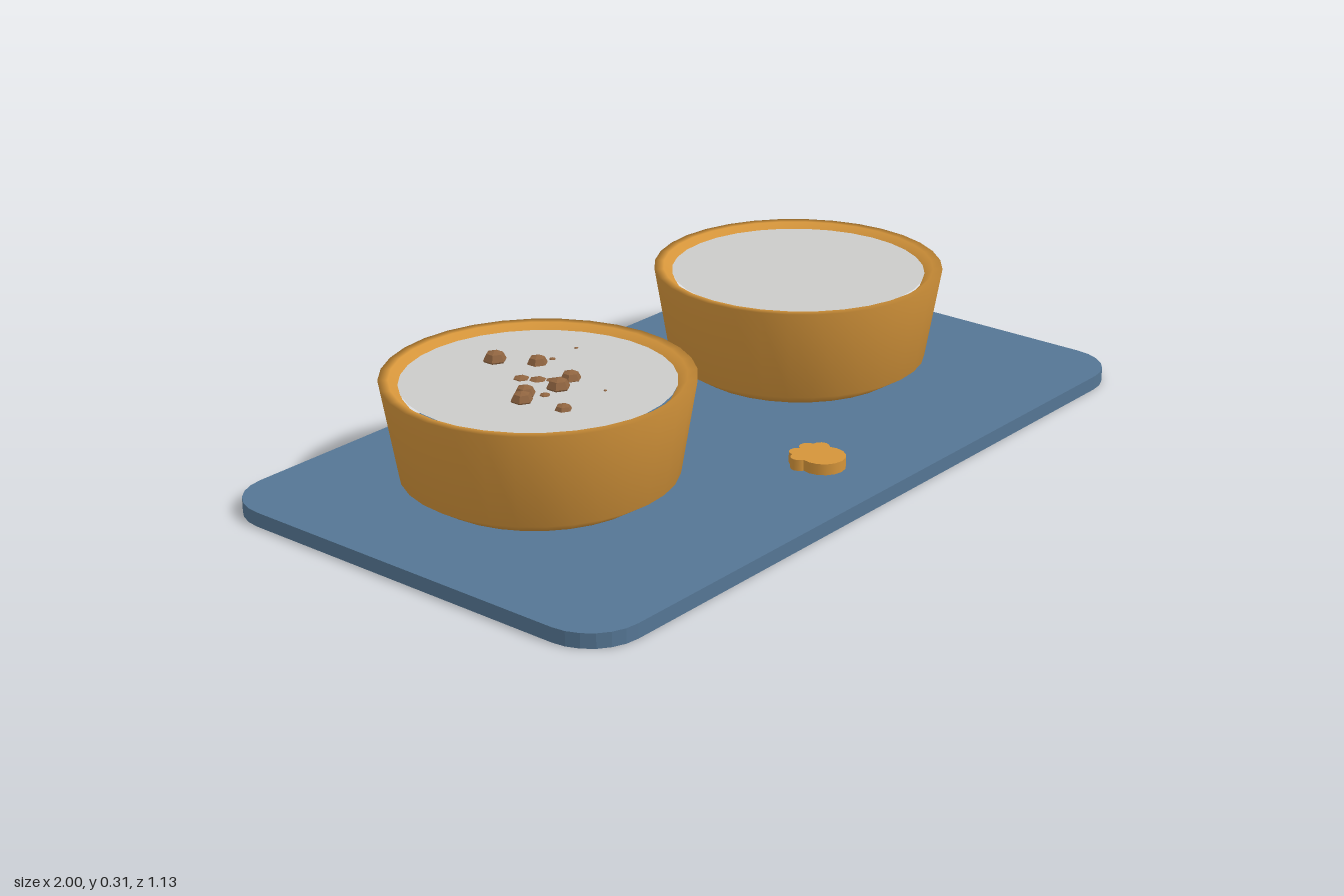
import * as THREE from 'three';

const material = (name, color) => {
  const m = new THREE.MeshStandardMaterial({ color });
  m.name = name;
  return m;
};

export function createModel() {
  const group = new THREE.Group();
  const blue = material('mat blue', 0x557694);
  const orange = material('bowl orange', 0xd4943a);
  const grey = material('liner grey', 0xcbcbc9);
  const brown = material('kibble brown', 0x8f6440);
  brown.flatShading = true;

  const add = (name, geometry, mat, x, y, z, parent = group) => {
    const mesh = new THREE.Mesh(geometry, mat);
    mesh.name = name;
    mesh.position.set(x, y, z);
    parent.add(mesh);
    return mesh;
  };

  // Mat: rounded rectangle, three facets per corner
  const w = 1, d = 0.565, r = 0.125, matTop = 0.035;
  const outline = new THREE.Shape();
  outline.absarc(w - r, d - r, r, 0, Math.PI / 2);
  outline.absarc(r - w, d - r, r, Math.PI / 2, Math.PI);
  outline.absarc(r - w, r - d, r, Math.PI, Math.PI * 1.5);
  outline.absarc(w - r, r - d, r, Math.PI * 1.5, Math.PI * 2);
  const matGeometry = new THREE.ExtrudeGeometry(outline, { depth: matTop, bevelEnabled: false, curveSegments: 3 });
  matGeometry.rotateX(-Math.PI / 2);
  add('mat', matGeometry, blue, 0, 0, 0);

  // Bowls: tapered wall, rolled rim and a recessed liner
  const bowlX = 0.478, bowlZ = -0.065, linerY = 0.285;
  const profile = [
    [0, 0.035], [0.265, 0.035], [0.32, 0.07], [0.358, 0.297], [0.335, 0.297], [0.31, 0.275],
  ].map(([x, y]) => new THREE.Vector2(x, y));
  const bowlGeometry = new THREE.LatheGeometry(profile, 32);
  const linerGeometry = new THREE.CircleGeometry(0.314, 32).rotateX(-Math.PI / 2);
  for (const [side, s] of [['left', 1], ['right', -1]]) {
    add(side + 'Bowl', bowlGeometry, orange, s * bowlX, 0, bowlZ);
    add(side + 'Liner', linerGeometry, grey, s * bowlX, linerY, bowlZ);
  }

  // Kibble in the right bowl: x, z, radius, height of its top above the liner
  const kibble = new THREE.Group();
  kibble.name = 'kibble';
  group.add(kibble);
  [
    [-0.455, -0.22, 0.028, 0.026], [-0.404, -0.136, 0.025, 0.02], [-0.428, -0.013, 0.025, 0.021],
    [-0.487, 0.003, 0.028, 0.026], [-0.567, -0.024, 0.025, 0.026], [-0.594, -0.008, 0.026, 0.024],
    [-0.572, 0.094, 0.022, 0.014], [-0.497, -0.1, 0.025, 0.008], [-0.478, -0.067, 0.028, 0.007],
    [-0.46, -0.04, 0.02, 0.005], [-0.537, 0.008, 0.016, 0.006], [-0.364, -0.126, 0.01, 0.004],
    [-0.278, -0.13, 0.006, 0.003], [-0.433, 0.094, 0.004, 0.003],
  ].forEach(([x, z, radius, top]) => {
    const piece = add('kibblePiece', new THREE.SphereGeometry(radius, 6, 4), brown, x, linerY + top - radius * 0.8, z, kibble);
    piece.scale.y = 0.8;
    piece.rotation.y = Math.PI / 6;
  });

  // Paw badge: one pad and four toes
  const paw = new THREE.Group();
  paw.name = 'paw';
  group.add(paw);
  const thick = 0.027, pawY = matTop + thick / 2;
  const pad = add('pawPad', new THREE.CylinderGeometry(0.05, 0.05, thick, 16), orange, 0, pawY, 0.377, paw);
  pad.scale.set(1.06, 1, 1.06);
  const toe = new THREE.CylinderGeometry(0.021, 0.021, thick, 12);
  for (const s of [-1, 1]) {
    add('innerToe', toe, orange, s * 0.019, pawY, 0.318, paw);
    add('outerToe', toe, orange, s * 0.041, pawY, 0.339, paw);
  }
  return group;
}
